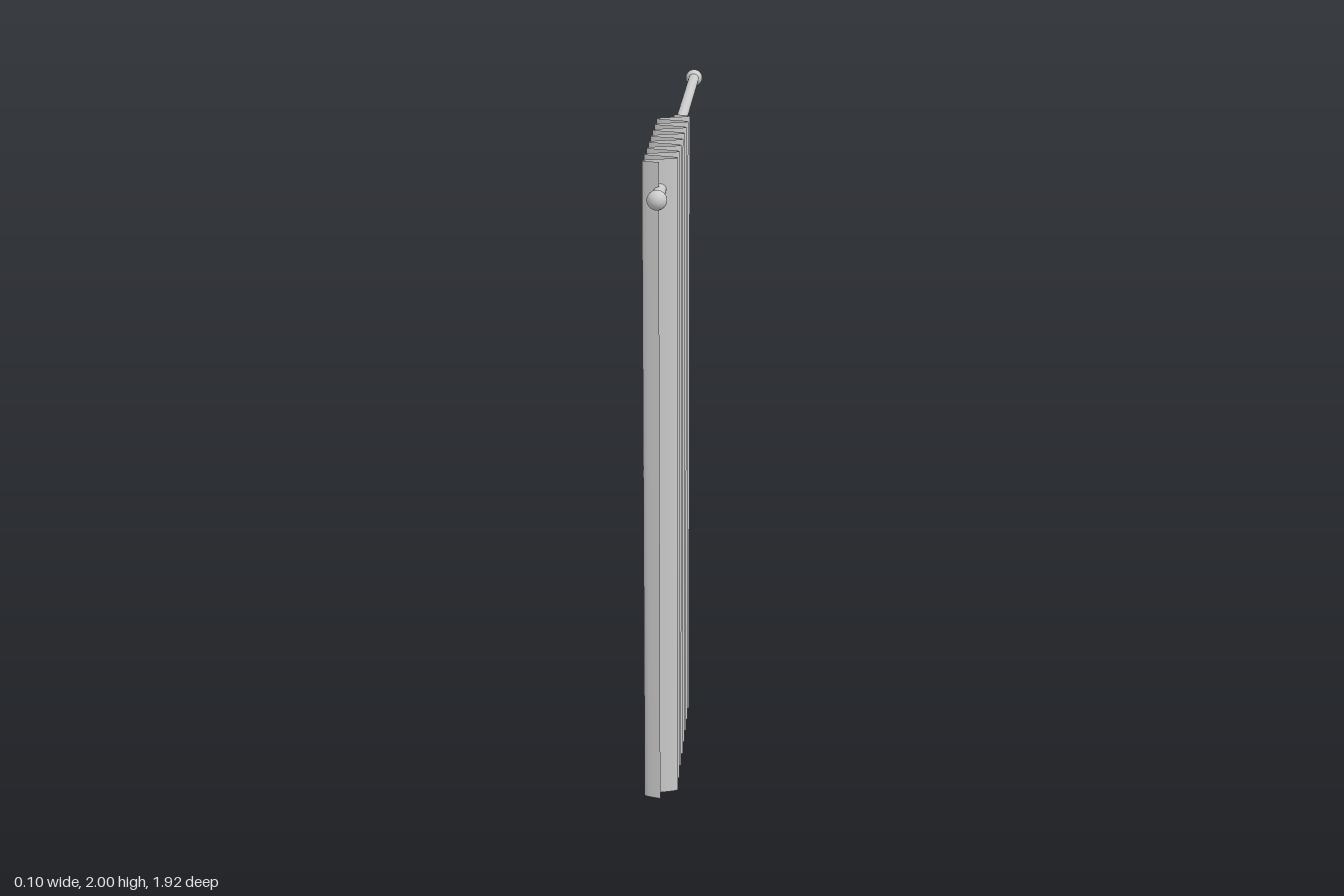
import * as THREE from 'three';

const HEIGHT = 2, FRONT_Z = 0.845, BACK_Z = 0.165;
const FOLDS = 8, DEPTH = 0.05;
const ROD_Y = 1.91, ROD_END = 0.93;

// Flat sheet bent into even sine folds along z
function pleatedSheet() {
  const width = FRONT_Z - BACK_Z;
  const geo = new THREE.PlaneGeometry(width, HEIGHT, FOLDS * 16, 1);
  const pos = geo.attributes.position;
  for (let i = 0; i < pos.count; i++) {
    const t = pos.getX(i) / width + 0.5;
    const x = -DEPTH * Math.sin(t * FOLDS * Math.PI * 2);
    pos.setXYZ(i, x, pos.getY(i) + HEIGHT / 2, FRONT_Z - t * width);
  }
  geo.computeVertexNormals();
  return geo;
}

export function createModel() {
  const group = new THREE.Group();
  group.name = 'curtainOnRod';
  const metal = new THREE.MeshStandardMaterial({ color: 0xcccccc });
  const cloth = new THREE.MeshStandardMaterial({ color: 0xcccccc, side: THREE.DoubleSide });

  const add = (name, geometry, material, y = 0, z = 0) => {
    const mesh = new THREE.Mesh(geometry, material);
    mesh.name = name;
    mesh.position.set(0, y, z);
    group.add(mesh);
  };

  // Curtain drawn to the front half of the rod
  add('curtain', pleatedSheet(), cloth);

  // Rod threaded through the folds, with a ball at each end
  const rod = new THREE.CylinderGeometry(0.018, 0.018, ROD_END * 2, 32).rotateX(Math.PI / 2);
  add('rod', rod, metal, ROD_Y);
  const ball = new THREE.SphereGeometry(0.029, 32, 20);
  add('frontFinial', ball, metal, ROD_Y, ROD_END);
  add('backFinial', ball, metal, ROD_Y, -ROD_END);

  return group;
}
